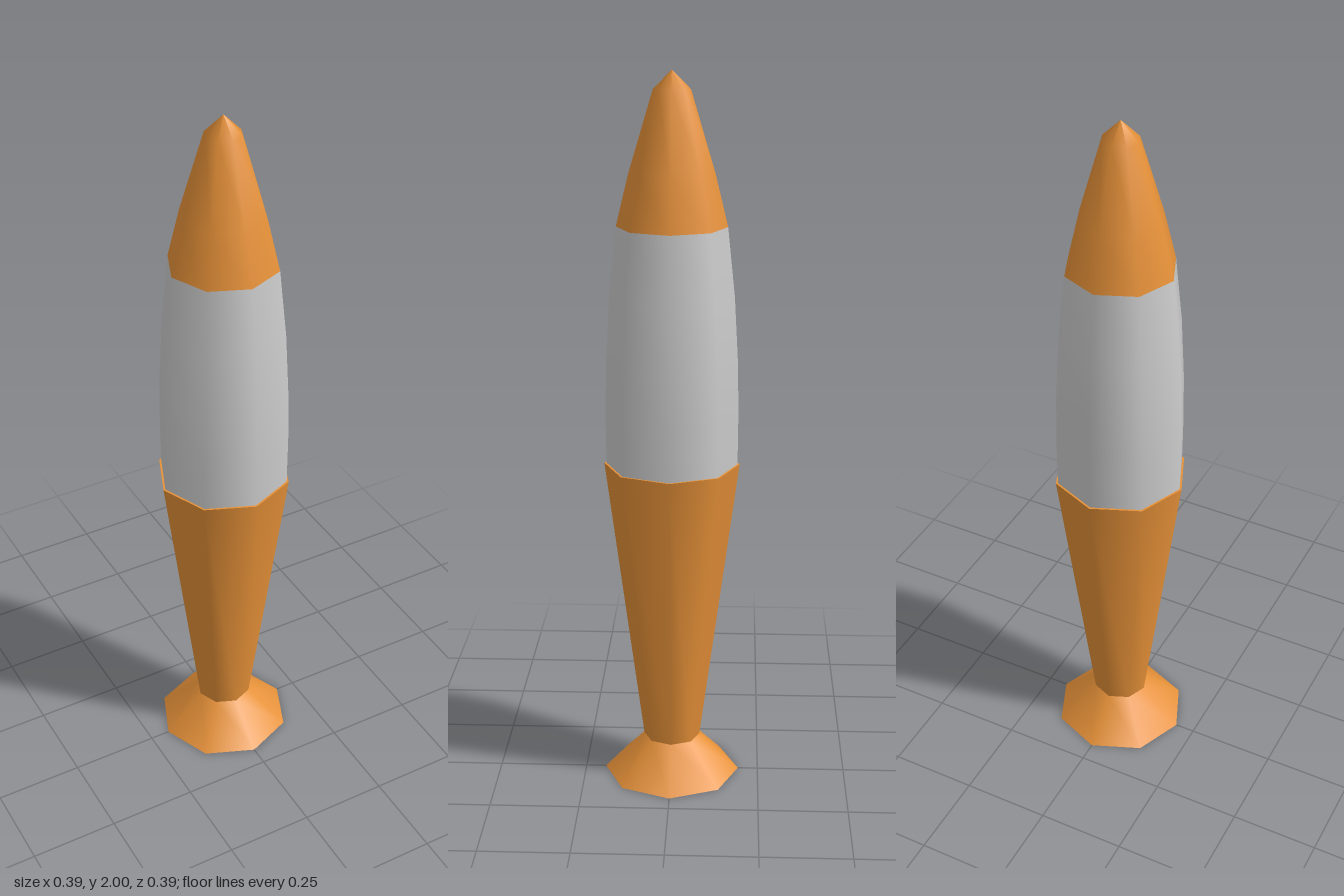
import * as THREE from 'three';

const SIDES = 8;

export function createModel() {
  const group = new THREE.Group();
  const orange = new THREE.MeshStandardMaterial({ color: 0xe69138 });
  const grey = new THREE.MeshStandardMaterial({ color: 0xcccccc });

  const add = (name, geometry, material) => {
    const mesh = new THREE.Mesh(geometry, material);
    mesh.name = name;
    group.add(mesh);
    return mesh;
  };

  // Eight-sided shell from [radius, height] pairs, bottom to top
  const shell = (name, profile, material) =>
    add(name, new THREE.LatheGeometry(profile.map(([r, y]) => new THREE.Vector2(r, y)), SIDES), material);

  // Flat end closing a shell, facing up (1) or down (-1)
  const end = (name, radius, y, facing, material) => {
    const disc = add(name, new THREE.CircleGeometry(radius, SIDES), material);
    disc.rotation.x = -facing * Math.PI / 2;
    disc.position.y = y;
  };

  // Flared foot
  shell('foot', [[0.193, 0], [0.08, 0.11]], orange);
  end('footBottom', 0.193, 0, -1, orange);

  // Tapered lower body with a narrow rim around the middle section
  shell('lowerBody', [[0.08, 0.11], [0.188, 0.93]], orange);
  end('lowerBodyRim', 0.188, 0.93, 1, orange);

  // Gently bulging middle section
  shell('middleBody', [[0.182, 0.93], [0.183, 1.08], [0.18, 1.22], [0.17, 1.4], [0.15, 1.59]], grey);

  // Pointed nose
  shell('nose', [[0.15, 1.59], [0.116, 1.73], [0.05, 1.95], [0, 2]], orange);

  return group;
}
